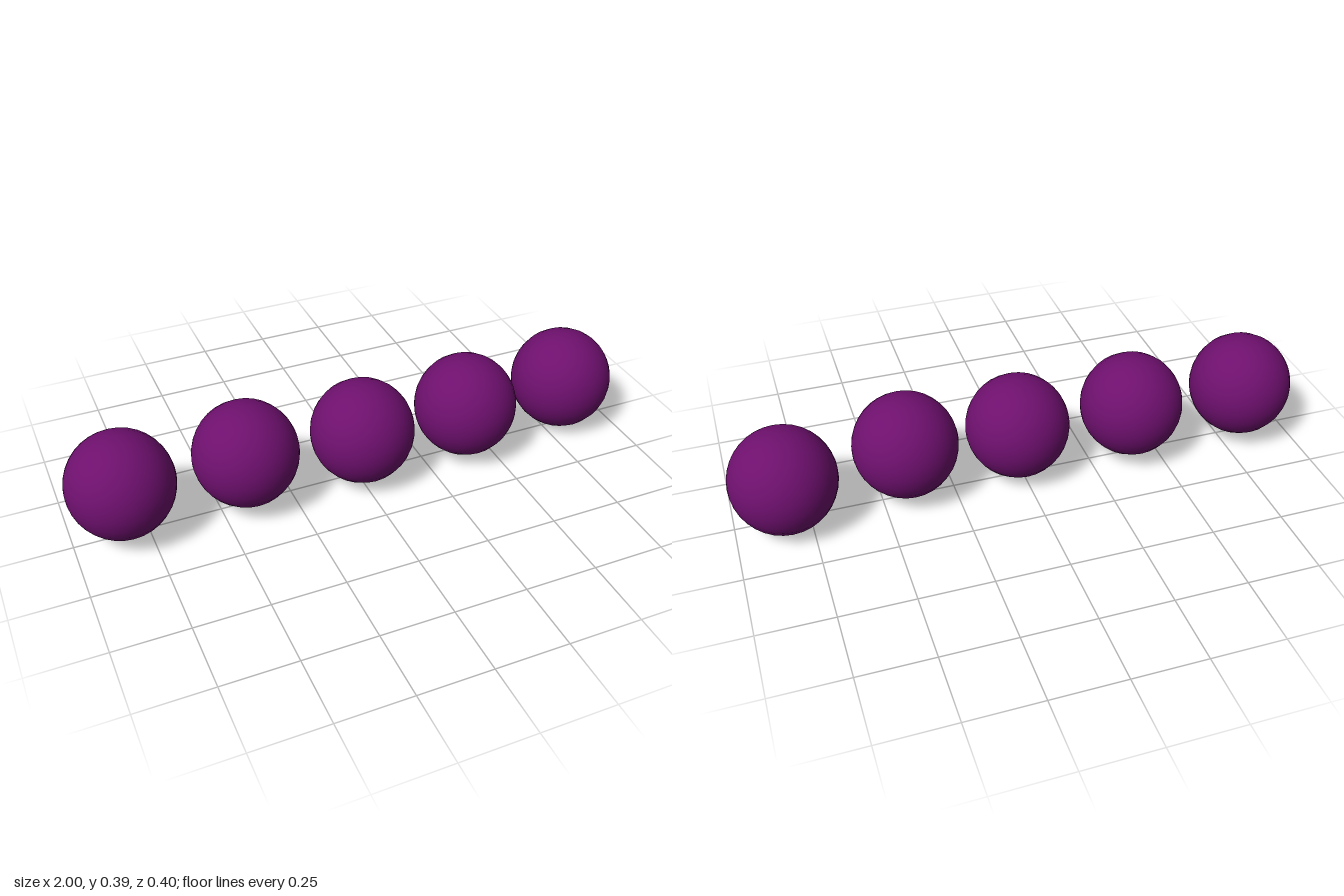
import * as THREE from 'three';

// Five loose beads in an uneven row, poles along x
export function createModel() {
  const group = new THREE.Group();
  group.name = 'beadRow';

  const material = new THREE.MeshStandardMaterial({ color: 0x6e106e });
  const geometry = new THREE.SphereGeometry(1, 26, 18);
  geometry.rotateZ(Math.PI / 2);
  geometry.scale(0.179, 0.1828, 0.179);

  // Bead centres, from right to left
  const centres = [
    [-0.821, 0.205, 0],
    [-0.401, 0.206, 0.001],
    [0.012, 0.193, 0.017],
    [0.405, 0.199, 0.02],
    [0.821, 0.1815, -0.02],
  ];
  centres.forEach((centre, i) => {
    const bead = new THREE.Mesh(geometry, material);
    bead.name = `bead${i + 1}`;
    bead.position.set(...centre);
    group.add(bead);
  });
  return group;
}
